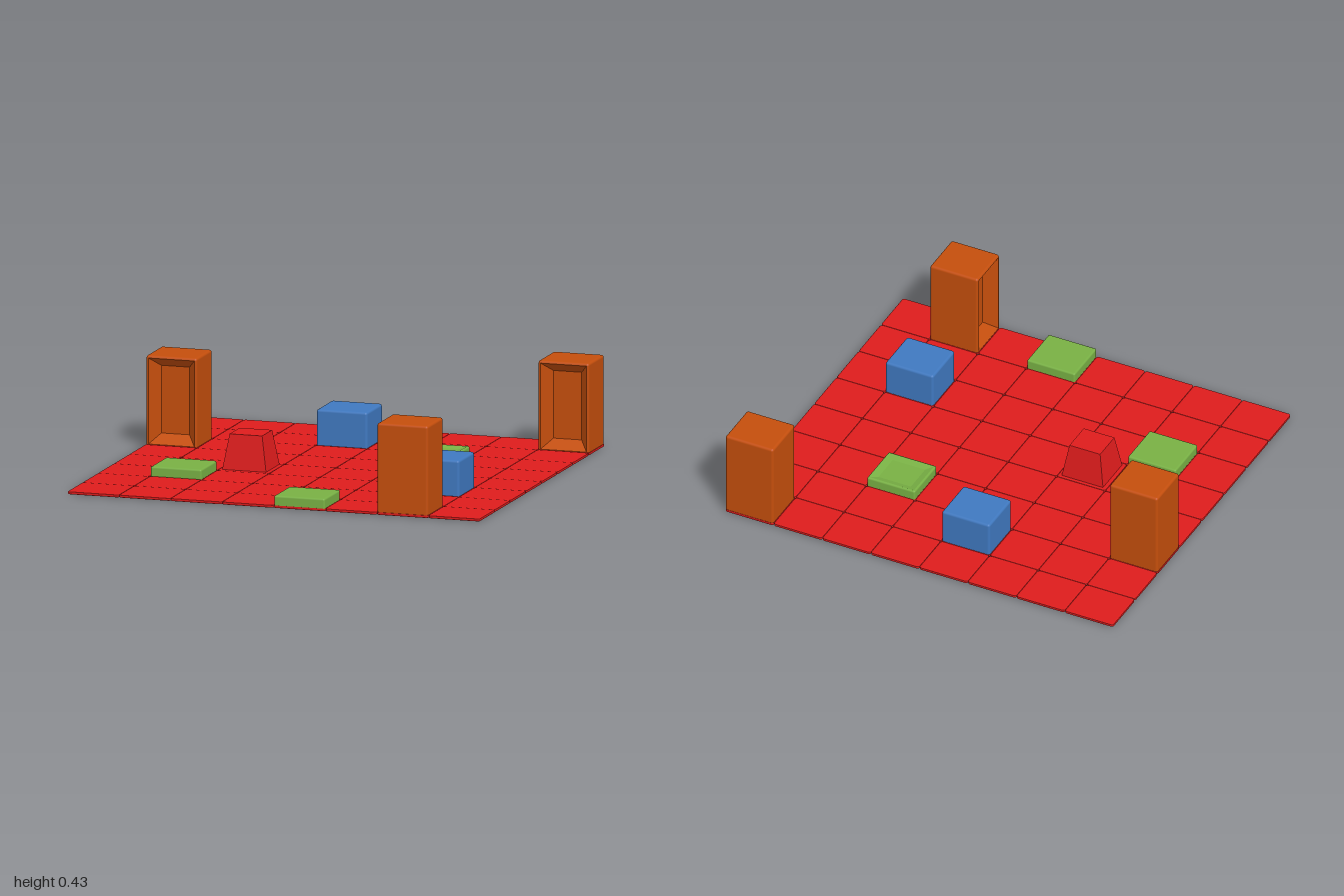
import * as THREE from 'three';
import { RoundedBoxGeometry } from 'three/addons/geometries/RoundedBoxGeometry.js';

const COLS = 8, PX = 0.25, PZ = 0.2285;
const W = 0.247, D = 0.226, BASE = 0.004;

const paint = (color) => new THREE.MeshStandardMaterial({ color });
const red = paint(0xdd1c1c), orange = paint(0xc44e0c), blue = paint(0x3f78bf), green = paint(0x78b044);

// centre of a board cell
const cellX = (col) => (col - (COLS - 1) / 2) * PX;
const cellZ = (row) => (row - (COLS - 1) / 2) * PZ;

// rounded box whose +z face sinks in as a tapered recess
function recessedBox(w, h, d, r, inset, depth) {
  const shell = new RoundedBoxGeometry(w, h, d, 2, r);
  const p = shell.attributes.position, n = shell.attributes.normal;
  const pos = [], nor = [];
  for (let i = 0; i < p.count; i += 3) {
    if ([0, 1, 2].every((k) => p.getZ(i + k) > d / 2 - 1e-4)) continue; // leave the face open
    for (let k = i; k < i + 3; k++) {
      pos.push(p.getX(k), p.getY(k), p.getZ(k));
      nor.push(n.getX(k), n.getY(k), n.getZ(k));
    }
  }
  const ring = (a, b, z) => [[-a, -b, z], [a, -b, z], [a, b, z], [-a, b, z]]
    .map((v) => new THREE.Vector3(...v));
  const rim = ring(w / 2 - r, h / 2 - r, d / 2);
  const floor = ring(w / 2 - inset, h / 2 - inset, d / 2 - depth);
  const quad = (a, b, c, e) => {
    const m = new THREE.Vector3().subVectors(b, a).cross(new THREE.Vector3().subVectors(c, a)).normalize();
    for (const v of [a, b, c, a, c, e]) {
      pos.push(v.x, v.y, v.z);
      nor.push(m.x, m.y, m.z);
    }
  };
  quad(...floor);
  for (let i = 0; i < 4; i++) {
    const j = (i + 1) % 4;
    quad(rim[i], rim[j], floor[j], floor[i]);
  }
  const geo = new THREE.BufferGeometry();
  geo.setAttribute('position', new THREE.Float32BufferAttribute(pos, 3));
  geo.setAttribute('normal', new THREE.Float32BufferAttribute(nor, 3));
  return geo;
}

export function createModel() {
  const model = new THREE.Group();

  // stand a part on a board cell
  const place = (name, geo, mat, col, row, h) => {
    const mesh = new THREE.Mesh(geo, mat);
    mesh.name = name;
    mesh.position.set(cellX(col), BASE + h / 2, cellZ(row));
    model.add(mesh);
    return mesh;
  };

  // floor of thin bevelled tiles
  const floor = new THREE.Group();
  floor.name = 'floor';
  const tileGeo = new RoundedBoxGeometry(0.249, 0.06, 0.2275, 2, 0.012).scale(1, 0.25, 1);
  for (let row = 0; row < COLS; row++) {
    for (let col = 0; col < COLS; col++) {
      const tile = new THREE.Mesh(tileGeo, red);
      tile.name = 'floorTile';
      tile.position.set(cellX(col), 0.0075, cellZ(row));
      floor.add(tile);
    }
  }
  model.add(floor);

  // tall blocks, each with a recessed face
  const tallH = 0.428;
  const frontRecess = recessedBox(W, tallH, D, 0.012, 0.055, 0.06);
  const sideRecess = recessedBox(D, tallH, W, 0.012, 0.055, 0.06).rotateY(-Math.PI / 2);
  place('tallBlock', frontRecess, orange, 7, 0, tallH);
  place('tallBlock', frontRecess, orange, 0, 2, tallH);
  place('tallBlock', sideRecess, orange, 6, 7, tallH);

  // medium blocks
  const midH = 0.178;
  const midGeo = new RoundedBoxGeometry(W, midH, D, 2, 0.012);
  for (const [col, row] of [[3, 1], [6, 5]]) place('mediumBlock', midGeo, blue, col, row, midH);

  // low slabs, one with a shallow dished top
  const lowH = 0.055;
  const lowGeo = new RoundedBoxGeometry(W, lowH, D, 2, 0.009);
  for (const [col, row] of [[1, 5], [4, 7]]) place('lowSlab', lowGeo, green, col, row, lowH);
  const dished = recessedBox(W, D, lowH, 0.009, 0.04, 0.01).rotateX(-Math.PI / 2);
  place('dishedSlab', dished, green, 5, 2, lowH);

  // tapered pedestal: a box narrowed at the top
  const pedH = 0.175;
  const pedGeo = new THREE.BoxGeometry(0.216, pedH, 0.2);
  const p = pedGeo.attributes.position;
  for (let i = 0; i < p.count; i++) {
    if (p.getY(i) > 0) p.setXYZ(i, p.getX(i) * 0.73, p.getY(i), p.getZ(i) * 0.73);
  }
  pedGeo.computeVertexNormals();
  place('pedestal', pedGeo, red, 2, 4, pedH);

  return model;
}
